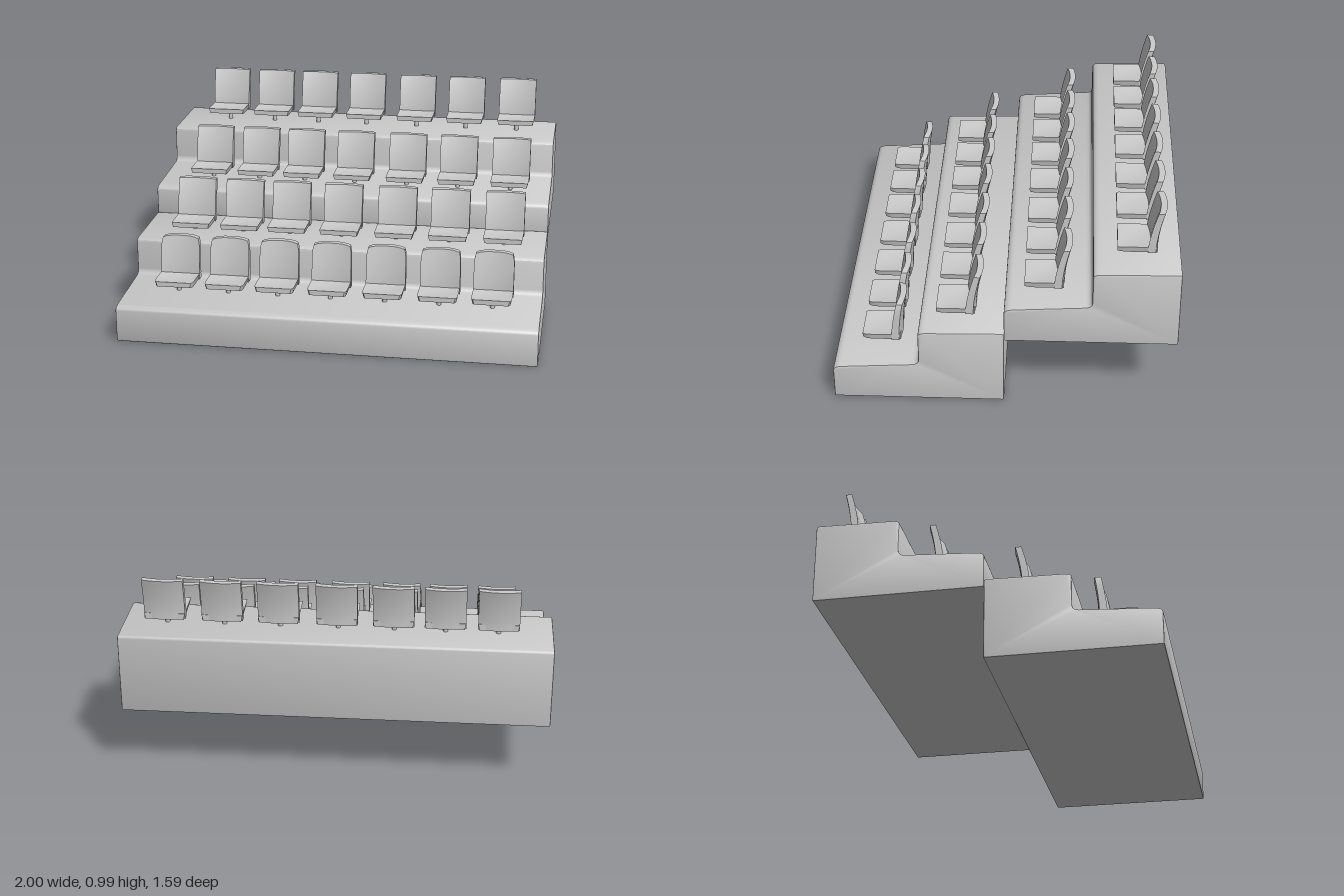
import * as THREE from 'three';
import { toCreasedNormals } from 'three/addons/utils/BufferGeometryUtils.js';

const material = new THREE.MeshStandardMaterial({ color: 0xcccccc });

function part(name, geometry, x = 0, y = 0, z = 0) {
  const mesh = new THREE.Mesh(geometry, material);
  mesh.name = name;
  mesh.position.set(x, y, z);
  return mesh;
}

// Moves every vertex by a rule, then smooths all but the sharp edges
function shaped(geometry, rule) {
  const p = geometry.attributes.position;
  const v = new THREE.Vector3();
  for (let i = 0; i < p.count; i++) {
    rule(v.fromBufferAttribute(p, i));
    p.setXYZ(i, v.x, v.y, v.z);
  }
  return toCreasedNormals(geometry, 0.7);
}

// Two-step riser: stepped side profile extruded across the width
function riserGeometry() {
  const s = new THREE.Shape();
  s.moveTo(0, 0.008);
  s.lineTo(0, 0.155);
  s.quadraticCurveTo(0, 0.172, 0.035, 0.177);
  s.lineTo(0.37, 0.198);
  s.quadraticCurveTo(0.4, 0.2, 0.4, 0.225);
  s.lineTo(0.4, 0.362);
  s.quadraticCurveTo(0.4, 0.379, 0.43, 0.381);
  s.lineTo(0.785, 0.388);
  s.quadraticCurveTo(0.797, 0.388, 0.797, 0.376);
  s.lineTo(0.797, 0.008);
  s.quadraticCurveTo(0.797, 0, 0.789, 0);
  s.lineTo(0.008, 0);
  s.quadraticCurveTo(0, 0, 0, 0.008);
  const b = 0.007;
  const g = new THREE.ExtrudeGeometry(s, {
    depth: 2 - 2 * b, curveSegments: 4,
    bevelThickness: b, bevelSize: b, bevelOffset: -b, bevelSegments: 2,
  });
  g.translate(0, 0, b - 1);
  g.rotateY(Math.PI / 2);
  return toCreasedNormals(g, 0.6);
}

const WIDTH = 0.19;

// Seat pan: dished top, raised front lip, narrower underside
function panGeometry(round) {
  const depth = 0.18;
  const g = new THREE.BoxGeometry(WIDTH, 0.03, depth, 10, 1, 12);
  return shaped(g, (v) => {
    const u = v.x / (WIDTH / 2);
    const t = v.z / (depth / 2);
    if (v.y > 0) {
      v.y -= 0.009 * Math.max(0, 1 - u * u) * Math.max(0, 1 - t * t);
    } else {
      v.x *= 0.93;
      v.y += 0.006 * Math.max(0, t) ** 4;
    }
    if (t > 0) v.x *= 1 - round * t ** 10;
    v.y += 0.015;
    v.z -= depth / 2;
  });
}

// Backrest: leans back with a curve and wraps around the sitter
function backGeometry(round, lean) {
  const h = 0.208;
  const g = new THREE.BoxGeometry(WIDTH, h, 1, 10, 10, 1);
  return shaped(g, (v) => {
    const t = THREE.MathUtils.clamp(v.y / h + 0.5, 0, 1);
    const u = v.x / (WIDTH / 2);
    const front = -0.148 - lean * t ** 1.6;
    const rear = -0.185 + 0.008 * t - lean * t ** 1.6;
    v.z = (v.z > 0 ? front : rear) + 0.013 * u * u;
    v.x *= 1 - round * t ** 10;
    v.y = t * (h - round * 0.1 * u ** 4);
  });
}

export function createModel() {
  const model = new THREE.Group();
  model.name = 'grandstand';

  // Two stacked risers
  const riser = riserGeometry();
  model.add(part('lowerRiser', riser, 0, 0, 0.797));
  model.add(part('upperRiser', riser, 0, 0.35, 0));

  // Seats: the first row has softer corners than the others
  const post = new THREE.CylinderGeometry(0.011, 0.011, 0.06, 12);
  const soft = { pan: panGeometry(0.1), back: backGeometry(0.08, 0.028) };
  const square = { pan: panGeometry(0.01), back: backGeometry(0, 0.041) };
  const columns = [-0.747, -0.503, -0.265, -0.005, 0.265, 0.527, 0.795];
  const firstColumns = [-0.747, -0.503, -0.26, -0.005, 0.257, 0.517, 0.77];
  const rows = [
    { y: 0.235, z: 0.67, xs: firstColumns, kit: soft },
    { y: 0.415, z: 0.318, xs: columns, kit: square },
    { y: 0.572, z: -0.09, xs: columns, kit: square },
    { y: 0.781, z: -0.507, xs: columns, kit: square },
  ];
  rows.forEach(({ y, z, xs, kit }, i) => {
    const row = new THREE.Group();
    row.name = `seatRow${i + 1}`;
    for (const x of xs) {
      const seat = new THREE.Group();
      seat.name = 'seat';
      seat.position.set(x, y, z);
      seat.add(part('seatPan', kit.pan));
      seat.add(part('backrest', kit.back));
      seat.add(part('post', post, 0, -0.025, -0.106));
      row.add(seat);
    }
    model.add(row);
  });
  return model;
}
